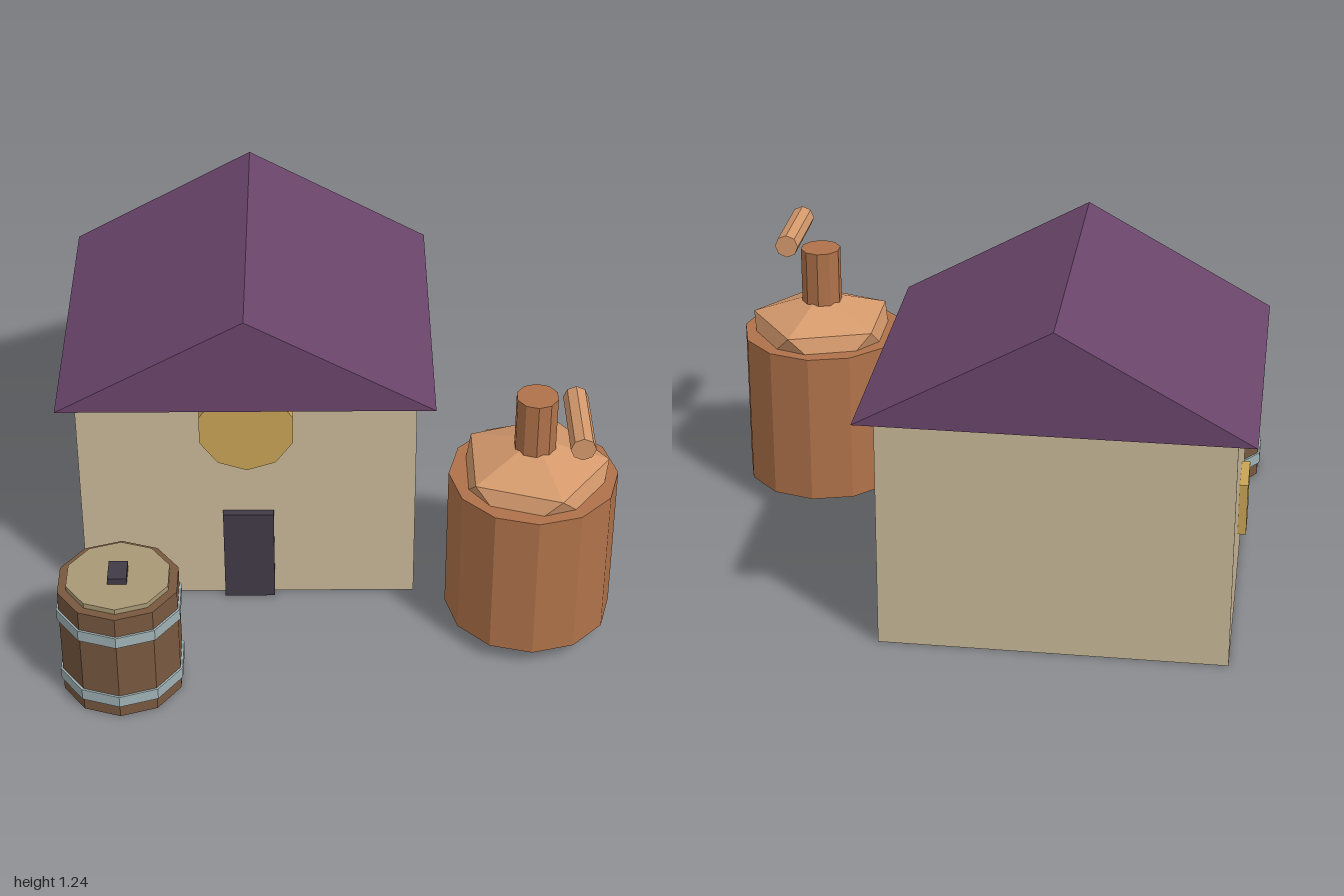
import * as THREE from 'three';
import { ConvexGeometry } from 'three/addons/geometries/ConvexGeometry.js';

const paint = (name, color) => {
  const m = new THREE.MeshStandardMaterial({ color, flatShading: true });
  m.name = name;
  return m;
};

export function createModel() {
  const mats = {
    plaster: paint('plaster', 0xc8b898),
    roof: paint('purple roof', 0x6a456a),
    gold: paint('gold', 0xc8a455),
    dark: paint('dark iron', 0x403a46),
    wood: paint('barrel wood', 0x785840),
    paleWood: paint('pale wood', 0xa89875),
    steel: paint('steel hoop', 0x9fb2b5),
    copper: paint('copper', 0xb0724a),
    paleCopper: paint('pale copper', 0xd4996c),
  };

  const model = new THREE.Group();
  const group = (name, x, z) => {
    const g = new THREE.Group();
    g.name = name;
    g.position.set(x, 0, z);
    model.add(g);
    return g;
  };
  const add = (parent, name, geometry, material, x = 0, y = 0, z = 0) => {
    const mesh = new THREE.Mesh(geometry, material);
    mesh.name = name;
    mesh.position.set(x, y, z);
    parent.add(mesh);
    return mesh;
  };
  // Upright cylinder between two heights
  const drum = (parent, name, r, y0, y1, sides, material, x = 0) =>
    add(parent, name, new THREE.CylinderGeometry(r, r, y1 - y0, sides), material, x, (y0 + y1) / 2, 0);

  // House
  const house = group('house', -0.325, -0.32);
  add(house, 'walls', new THREE.BoxGeometry(1.22, 0.88, 1.06), mats.plaster, 0, 0.44, 0);
  const gable = new THREE.Shape();
  gable.moveTo(-0.675, 0.868);
  gable.lineTo(0.675, 0.868);
  gable.lineTo(0, 1.243);
  const roofGeometry = new THREE.ExtrudeGeometry(gable, { depth: 1.19, bevelEnabled: false });
  add(house, 'roof', roofGeometry, mats.roof, 0, 0, -0.595);
  add(house, 'door', new THREE.BoxGeometry(0.185, 0.38, 0.06), mats.dark, 0, 0.19, 0.53);
  add(house, 'sideWindow', new THREE.BoxGeometry(0.06, 0.195, 0.19), mats.gold, -0.61, 0.377, 0);
  const sign = add(house, 'roundSign', new THREE.CylinderGeometry(0.176, 0.176, 0.06, 10), mats.gold, 0, 0.78, 0.555);
  sign.rotation.x = Math.PI / 2;

  // Barrel
  const barrel = group('barrel', -0.77, 0.682);
  drum(barrel, 'staves', 0.219, 0, 0.44, 10, mats.wood);
  for (const y of [0.072, 0.342]) drum(barrel, 'hoop', 0.227, y - 0.022, y + 0.022, 10, mats.steel);
  drum(barrel, 'barrelLid', 0.187, 0.43, 0.46, 10, mats.paleWood);
  add(barrel, 'bung', new THREE.BoxGeometry(0.067, 0.035, 0.1), mats.dark, 0, 0.467, 0);

  // Still
  const still = group('still', 0.697, 0.348);
  drum(still, 'kettle', 0.302, 0.065, 0.648, 12, mats.copper);
  for (const side of [-1, 1]) drum(still, 'foot', 0.041, 0, 0.08, 8, mats.dark, side * 0.196);

  // Faceted dome: two staggered rings of five and two poles
  const points = [new THREE.Vector3(0, 0.17, 0), new THREE.Vector3(0, -0.17, 0)];
  for (let i = 0; i < 10; i++) {
    const a = (i * Math.PI) / 5;
    points.push(new THREE.Vector3(0.267 * Math.cos(a), i % 2 ? -0.076 : 0.076, 0.267 * Math.sin(a)));
  }
  add(still, 'dome', new ConvexGeometry(points), mats.paleCopper, 0, 0.63, 0);
  drum(still, 'neck', 0.075, 0.7, 0.98, 10, mats.copper);
  const pipe = add(still, 'outletPipe', new THREE.CylinderGeometry(0.044, 0.044, 0.312, 8), mats.paleCopper, 0.132, 0.977, 0.156);
  pipe.rotation.x = Math.PI / 2;

  return model;
}
